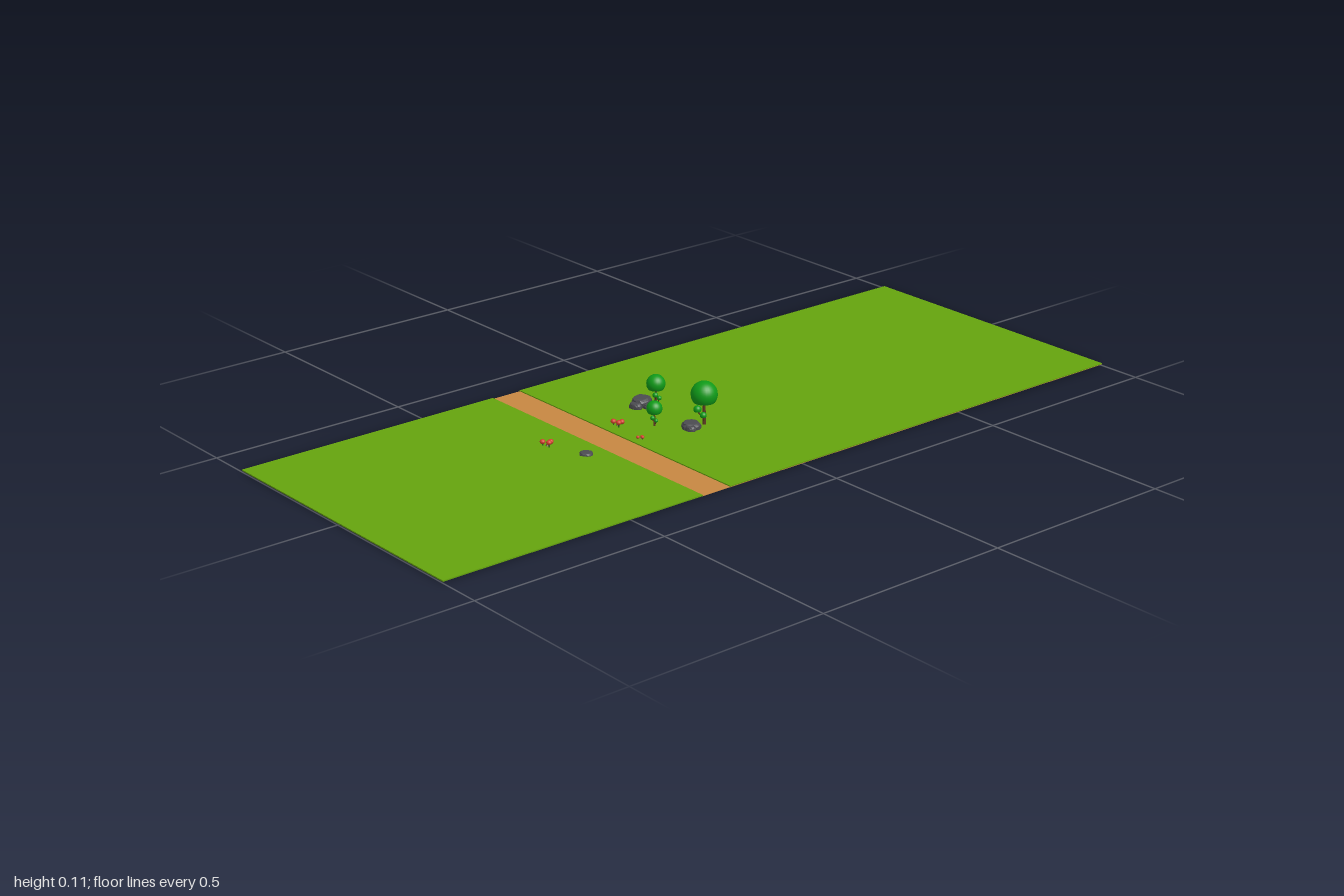
import * as THREE from 'three';

const mat = (name, color) => {
  const m = new THREE.MeshStandardMaterial({ color });
  m.name = name;
  return m;
};

export function createModel() {
  const grass = mat('grass', 0x65a30d);
  const dirt = mat('dirt', 0xc68642);
  const leaf = mat('leaf', 0x0f9a18);
  const bark = mat('bark', 0x5c3a21);
  const stone = mat('stone', 0x4b4b50);
  const petal = mat('petal', 0xd0402c);
  const stem = mat('stem', 0x2f6b1e);
  stone.flatShading = true;

  const model = new THREE.Group();
  model.name = 'meadow';
  const add = (parent, name, geo, material, x = 0, y = 0, z = 0) => {
    const mesh = new THREE.Mesh(geo, material);
    mesh.name = name;
    mesh.position.set(x, y, z);
    parent.add(mesh);
    return mesh;
  };
  const group = (name, x, y, z) => {
    const g = new THREE.Group();
    g.name = name;
    g.position.set(x, y, z);
    model.add(g);
    return g;
  };

  // Ground slabs: the dirt runs on below the back meadow
  const slab = (name, material, z0, z1, y0, y1) =>
    add(model, name, new THREE.BoxGeometry(0.78, y1 - y0, z1 - z0), material, 0, (y0 + y1) / 2, (z0 + z1) / 2);
  slab('dirtPath', dirt, -1, 0.3, 0.0025, 0.0035);
  slab('backMeadow', grass, -1, 0.22, 0.0035, 0.006);
  slab('frontMeadow', grass, 0.3, 1, 0.003, 0.006);

  // Rounded crown with a flat underside
  const crownGeo = (r) => {
    const cut = Math.PI * 0.7;
    const pts = [new THREE.Vector2(0, r * Math.cos(cut)), new THREE.Vector2(r * Math.sin(cut), r * Math.cos(cut))];
    for (let i = 0; i <= 14; i++) {
      const a = cut * (1 - i / 14);
      pts.push(new THREE.Vector2(i === 14 ? 0 : r * Math.sin(a), r * Math.cos(a)));
    }
    return new THREE.LatheGeometry(pts, 24);
  };

  const limb = (parent, name, points, r) =>
    add(parent, name, new THREE.TubeGeometry(
      new THREE.CatmullRomCurve3(points.map((p) => new THREE.Vector3(...p))), 8, r, 8), bark);

  // Trees: trunk, main crown and two small side crowns
  const trees = [
    { x: 0.067, z: 0.022, s: 1, turn: 0 },
    { x: -0.104, z: 0.028, s: 0.72, turn: 0.9 },
    { x: 0, z: 0.118, s: 0.59, turn: 0.6 },
  ];
  for (const { x, z, s, turn } of trees) {
    const tree = group('tree', x, 0.004, z);
    tree.scale.setScalar(s);
    add(tree, 'trunk', new THREE.CylinderGeometry(0.003, 0.0045, 0.066, 10), bark, 0, 0.032, 0);
    add(tree, 'crown', crownGeo(0.032), leaf, 0, 0.077, 0);
    const sides = new THREE.Group();
    sides.name = 'sideBranches';
    sides.rotation.y = turn;
    tree.add(sides);
    for (const [bx, by, bz, r] of [[-0.002, 0.043, 0.019, 0.0095], [0.011, 0.03, 0.012, 0.008]]) {
      limb(sides, 'branch', [[0, by - 0.018, 0], [bx * 0.7, by - 0.013, bz * 0.7], [bx, by, bz]], 0.0018);
      add(sides, 'sideCrown', crownGeo(r), leaf, bx, by, bz);
    }
  }

  // Flat-topped boulders
  const rock = (x, z, rx, h, rz, turn) => {
    const geo = new THREE.DodecahedronGeometry(1, 1);
    const p = geo.attributes.position;
    for (let i = 0; i < p.count; i++) {
      const bump = 1 + 0.07 * Math.sin(p.getX(i) * 5 + p.getZ(i) * 3 + x * 40);
      const y = THREE.MathUtils.clamp(p.getY(i), -0.5, 0.6);
      p.setXYZ(i, p.getX(i) * bump * rx, ((y + 0.5) / 1.1) * h, p.getZ(i) * bump * rz);
    }
    geo.computeVertexNormals();
    add(model, 'rock', geo, stone, x, 0, z).rotation.y = turn;
  };
  rock(-0.125, 0.055, 0.025, 0.026, 0.026, 0.3);
  rock(-0.104, 0.052, 0.017, 0.016, 0.018, 1.2);
  rock(-0.118, 0.078, 0.018, 0.019, 0.015, 0.2);
  rock(0.065, 0.061, 0.024, 0.021, 0.022, 0.8);
  rock(0.077, 0.072, 0.014, 0.017, 0.012, 0.1);
  rock(0.037, 0.35, 0.017, 0.012, 0.016, 0.5);

  // Red flower clumps, three blooms each around a leafy base
  for (const [x, z, s, turn] of [[-0.055, 0.183, 1, 0], [-0.061, 0.386, 1, 0.2], [0.043, 0.194, 0.6, 0.5]]) {
    const clump = group('flowerClump', x, 0.002, z);
    clump.scale.setScalar(s);
    clump.rotation.y = turn;
    add(clump, 'clumpBase', new THREE.ConeGeometry(0.007, 0.011, 7), bark, 0, 0.0055, 0);
    for (let i = 0; i < 3; i++) {
      const a = (i / 3) * Math.PI * 2 + Math.PI;
      const dx = Math.sin(a) * 0.0115, dz = Math.cos(a) * 0.0115;
      const h = 0.011 + i * 0.0025;
      add(clump, 'stem', new THREE.CylinderGeometry(0.0014, 0.0018, h, 6), stem, dx, h / 2, dz);
      const bloom = add(clump, 'bloom', new THREE.SphereGeometry(0.0068, 12, 8), petal, dx, h, dz);
      bloom.scale.y = 0.85;
    }
  }
  return model;
}
